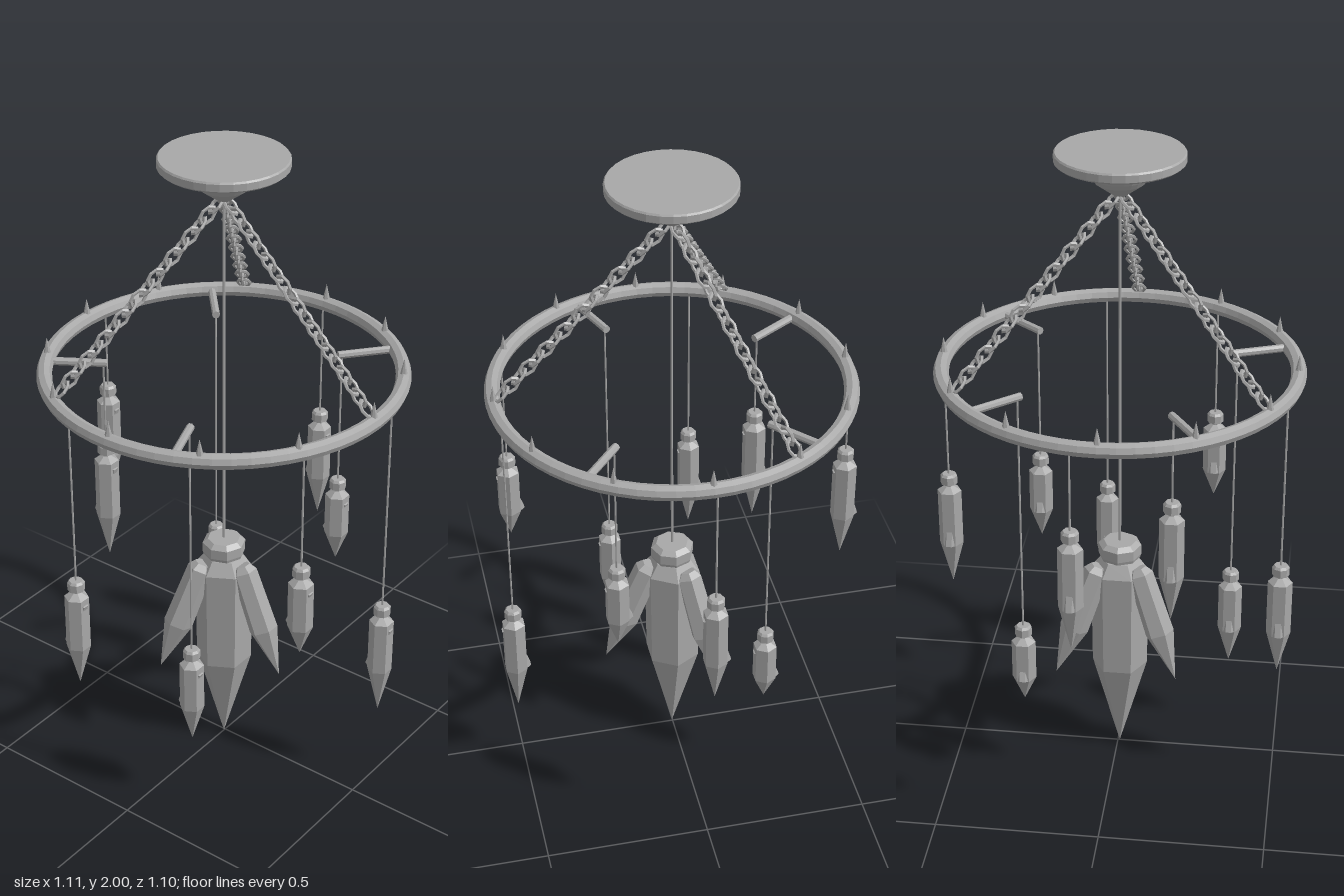
import * as THREE from 'three';

const grey = new THREE.MeshStandardMaterial({ color: 0xa8a8a8, flatShading: true });
grey.name = 'grey';

const RING_Y = 1.337, RING_R = 0.522, UP = new THREE.Vector3(0, 1, 0);
const V = (x, y, z) => new THREE.Vector3(x, y, z);

function add(parent, name, geometry) {
  const mesh = new THREE.Mesh(geometry, grey);
  mesh.name = name;
  parent.add(mesh);
  return mesh;
}

// Straight rod between two points
function rod(parent, name, a, b, radius, sides) {
  const mesh = add(parent, name, new THREE.CylinderGeometry(radius, radius, a.distanceTo(b), sides));
  mesh.position.copy(a).add(b).multiplyScalar(0.5);
  mesh.quaternion.setFromUnitVectors(UP, b.clone().sub(a).normalize());
  return mesh;
}

// Faceted solid from [radius, y] points, listed bottom to top
function faceted(parent, name, points, sides) {
  return add(parent, name, new THREE.LatheGeometry(points.map(p => new THREE.Vector2(p[0], p[1])), sides));
}

// Pointed crystal whose top centre is at a and whose tip is at b
function shard(parent, name, a, b, radius, shoulder, sides = 6) {
  const len = a.distanceTo(b);
  const mesh = faceted(parent, name,
    [[0, -len], [radius, -len * shoulder], [radius * 0.9, -0.02], [radius * 0.55, 0], [0, 0]], sides);
  mesh.position.copy(a);
  mesh.quaternion.setFromUnitVectors(UP, a.clone().sub(b).normalize());
  return mesh;
}

// Alternating oval links from a to b
function chain(parent, a, b, count) {
  const group = new THREE.Group();
  group.name = 'chain';
  const link = new THREE.TorusGeometry(0.0195, 0.0052, 5, 8);
  link.scale(1, 1.4, 1);
  const dir = b.clone().sub(a).normalize();
  const side = dir.clone().cross(UP).normalize();
  const normal = side.clone().cross(dir);
  const base = new THREE.Quaternion().setFromRotationMatrix(
    new THREE.Matrix4().makeBasis(side, dir, normal));
  for (let i = 0; i < count; i++) {
    const mesh = add(group, 'chainLink', link);
    mesh.position.lerpVectors(a, b, (i + 0.5) / count);
    mesh.quaternion.copy(base);
    if (i % 2) mesh.rotateY(Math.PI / 2);
  }
  parent.add(group);
}

// Capped crystal on a wire, with a slanted shard running through its body
function pendant(parent, [x, z, top, tip, shoulder, inner]) {
  const group = new THREE.Group();
  group.name = 'pendant';
  const h = top - tip, wireTop = RING_Y;
  rod(group, 'pendantWire', V(x, top - 0.01, z), V(x, wireTop, z), 0.003, 6);
  const cap = faceted(group, 'pendantCap',
    [[0, -0.032], [0.026, -0.032], [0.026, -0.007], [0.02, 0], [0, 0]], 8);
  const body = faceted(group, 'pendantCrystal',
    [[0, -h], [0.037, -h * shoulder], [0.037, -0.058], [0.012, -0.042], [0.012, -0.03]], 6);
  cap.position.set(x, top, z);
  body.position.set(x, top, z);
  const length = h * shoulder - 0.05;
  const sliver = rod(group, 'pendantSliver',
    V(x + 0.021, top - 0.075, z), V(x - 0.03, top - 0.05 - length, z), 0.019, 6);
  sliver.scale.z = 0.9;
  // Inward arm carrying the wire
  if (inner) {
    const r = Math.hypot(x, z), k = RING_R / r, e = (r - 0.012) / r;
    rod(group, 'pendantArm', V(x * k, RING_Y, z * k), V(x * e, RING_Y, z * e), 0.012, 8);
  }
  parent.add(group);
}

export function createModel() {
  const model = new THREE.Group();
  model.name = 'crystalChandelier';
  const frame = new THREE.Group();
  frame.name = 'frame';
  frame.position.z = 0.006;
  model.add(frame);

  // Ceiling plate and its tapered boss
  faceted(frame, 'ceilingPlate',
    [[0, 1.968], [0.18, 1.968], [0.187, 1.974], [0.187, 1.995], [0.183, 2], [0, 2]], 32);
  faceted(frame, 'ceilingBoss',
    [[0, 1.865], [0.015, 1.868], [0.072, 1.91], [0.082, 1.925], [0.105, 1.968]], 24);

  // Main ring
  const ring = add(frame, 'ring', new THREE.TorusGeometry(RING_R, 0.023, 8, 64));
  ring.rotation.x = Math.PI / 2;
  ring.position.y = RING_Y;

  // Small spikes around the ring
  for (let i = 0; i < 12; i++) {
    const a = i * Math.PI / 6;
    const spike = add(frame, 'ringSpike', new THREE.ConeGeometry(0.012, 0.055, 6));
    spike.position.set(RING_R * Math.cos(a), 1.378, RING_R * Math.sin(a));
  }

  // Three chains and the centre wire
  for (let i = 0; i < 3; i++) {
    const a = i * Math.PI * 2 / 3, c = Math.cos(a), s = Math.sin(a);
    chain(frame, V(0.01 * c, 1.872, 0.01 * s), V(0.51 * c, 1.36, 0.51 * s), 19);
  }
  rod(frame, 'centreWire', V(0, 0.74, 0), V(0, 1.88, 0), 0.004, 6);

  // Centre crystal with cap and three leaning shards
  faceted(frame, 'centreCap',
    [[0, 0.695], [0.063, 0.695], [0.066, 0.705], [0.066, 0.737], [0.05, 0.75], [0, 0.75]], 8);
  faceted(frame, 'centreCrystal',
    [[0, 0], [0.086, 0.31], [0.09, 0.65], [0.06, 0.69], [0, 0.7]], 6);
  for (let i = 0; i < 3; i++) {
    const a = i * Math.PI * 2 / 3, c = Math.cos(a), s = Math.sin(a);
    shard(frame, 'leaningShard', V(0.07 * c, 0.675, 0.07 * s), V(0.215 * c, 0.325, 0.215 * s), 0.045, 0.58);
  }

  // Pendants: x, z, top, tip, shoulder fraction, hung from an inward arm
  [
    [-0.516, -0.072, 1.077, 0.685, 0.63, false],
    [-0.302, 0.192, 1.066, 0.67, 0.63, true],
    [-0.233, -0.26, 0.57, 0.305, 0.7, true],
    [-0.165, 0.505, 0.796, 0.425, 0.63, false],
    [-0.012, -0.516, 0.955, 0.575, 0.63, false],
    [0.134, 0.341, 0.585, 0.25, 0.63, true],
    [0.226, -0.272, 0.91, 0.62, 0.67, true],
    [0.464, 0.258, 0.97, 0.67, 0.69, false],
    [0.516, -0.097, 0.66, 0.27, 0.6, false],
  ].forEach(p => pendant(model, p));

  return model;
}
